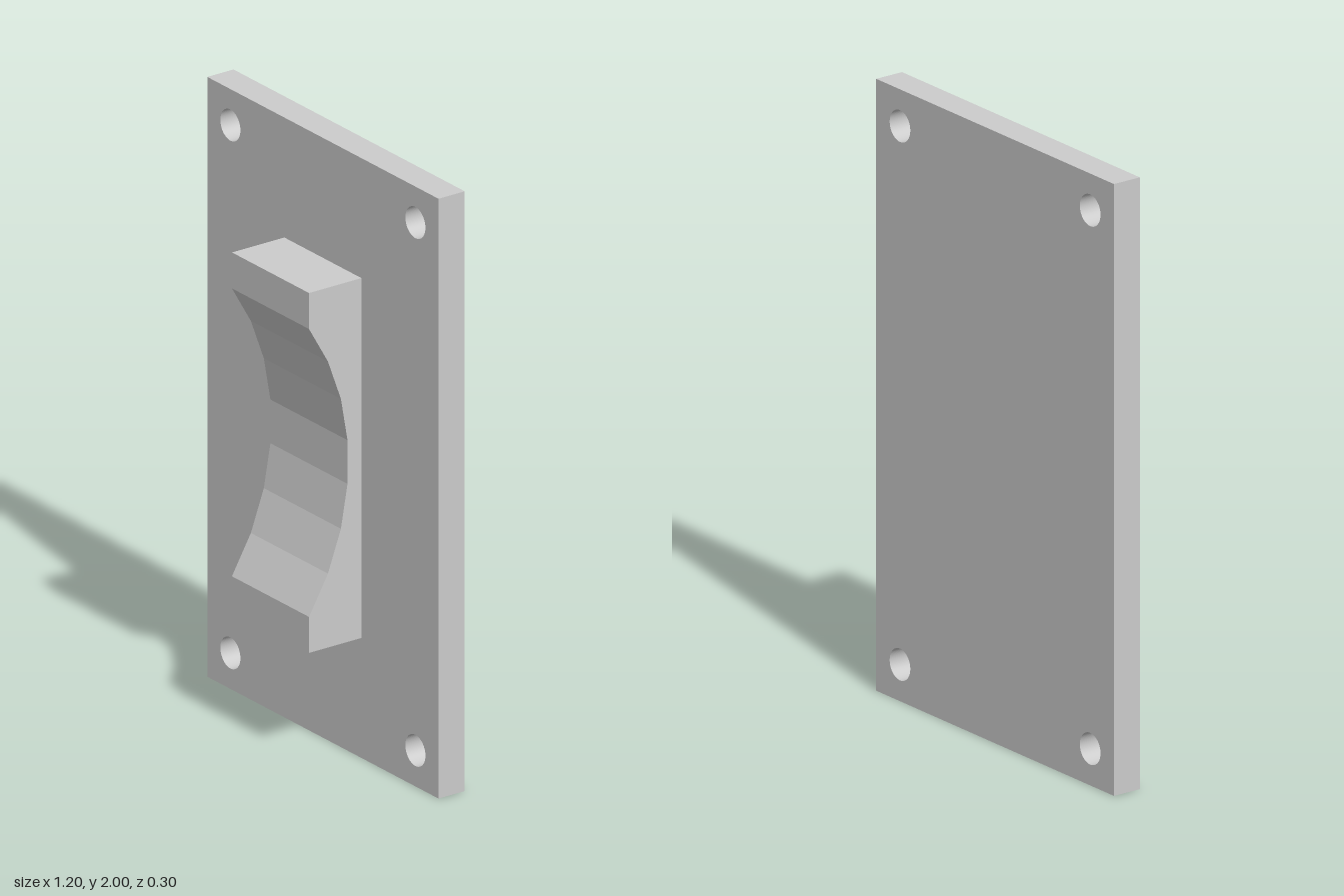
import * as THREE from 'three';

export function createModel() {
  const group = new THREE.Group();
  const material = new THREE.MeshStandardMaterial({ color: 0xcccccc });
  const add = (name, geometry) => {
    const mesh = new THREE.Mesh(geometry, material);
    mesh.name = name;
    group.add(mesh);
  };

  // Back plate with a screw hole near each corner
  const plate = new THREE.Shape([
    new THREE.Vector2(-0.6, 0), new THREE.Vector2(0.6, 0),
    new THREE.Vector2(0.6, 2), new THREE.Vector2(-0.6, 2),
  ]);
  for (const x of [-0.48, 0.48]) {
    for (const y of [0.12, 1.88]) {
      plate.holes.push(new THREE.Path().absarc(x, y, 0.052, 0, Math.PI * 2, true));
    }
  }
  const plateGeometry = new THREE.ExtrudeGeometry(plate, { depth: 0.1, bevelEnabled: false, curveSegments: 48 });
  plateGeometry.translate(0, 0, -0.15);
  add('backPlate', plateGeometry);

  // Raised block: side profile (z, y) with a faceted concave front
  const radius = 0.843, facets = 7;
  const halfAngle = Math.asin(0.48 / radius);
  const profile = [[-0.05, 1.6], [-0.05, 0.4], [0.15, 0.4]].map(([z, y]) => new THREE.Vector2(z, y));
  for (let i = 0; i <= facets; i++) {
    const a = -halfAngle + (2 * halfAngle * i) / facets;
    profile.push(new THREE.Vector2(radius * (1 - Math.cos(a)), 1 + radius * Math.sin(a)));
  }
  profile.push(new THREE.Vector2(0.15, 1.6));
  const blockGeometry = new THREE.ExtrudeGeometry(new THREE.Shape(profile), { depth: 0.4, bevelEnabled: false });
  blockGeometry.rotateY(-Math.PI / 2).translate(0.2, 0, 0);
  add('concaveBlock', blockGeometry);

  return group;
}
